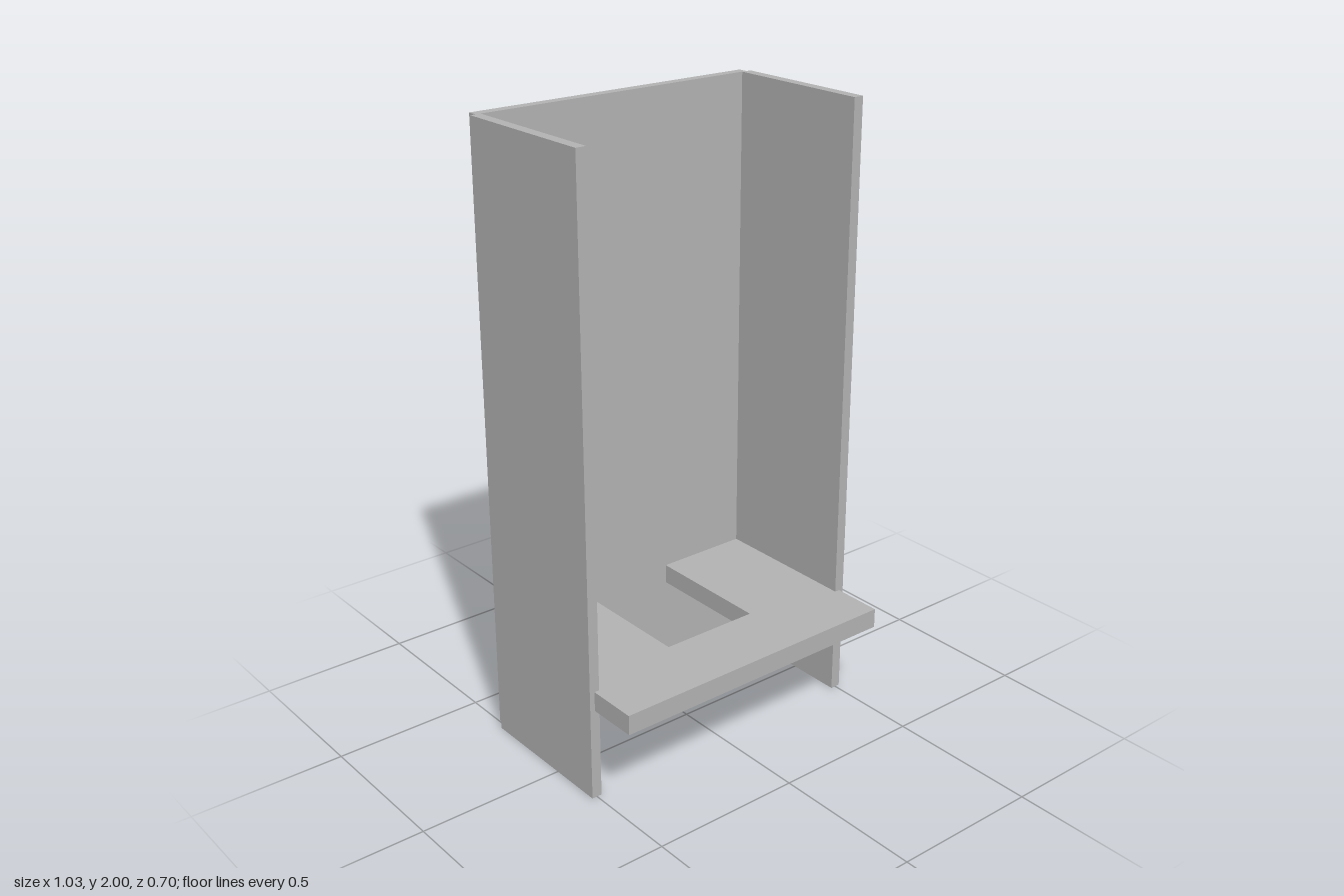
import * as THREE from 'three';

export function createModel() {
  const group = new THREE.Group();
  const grey = new THREE.MeshStandardMaterial({ color: 0xb2b2b2 });
  grey.name = 'grey';

  // Box spanning the given ranges on each axis
  function panel(name, [x0, x1], [y0, y1], [z0, z1]) {
    const mesh = new THREE.Mesh(new THREE.BoxGeometry(x1 - x0, y1 - y0, z1 - z0), grey);
    mesh.position.set((x0 + x1) / 2, (y0 + y1) / 2, (z0 + z1) / 2);
    mesh.name = name;
    group.add(mesh);
  }

  // Upright panels
  panel('backPanel', [-0.5, 0.5], [0, 2], [-0.35, -0.317]);
  panel('leftPanel', [0.483, 0.517], [0, 2], [-0.317, 0.183]);
  panel('rightPanel', [-0.517, -0.483], [0, 2], [-0.317, 0.183]);

  // U-shaped shelf, notched at the back: outline in (x, -z)
  const outline = [
    [-0.5, -0.35], [0.5, -0.35], [0.5, 0.317], [0.167, 0.317],
    [0.167, -0.117], [-0.167, -0.117], [-0.167, 0.317], [-0.5, 0.317],
  ];
  const shape = new THREE.Shape(outline.map(([x, y]) => new THREE.Vector2(x, y)));
  const geometry = new THREE.ExtrudeGeometry(shape, { depth: 0.065, bevelEnabled: false });
  geometry.rotateX(-Math.PI / 2);
  const shelf = new THREE.Mesh(geometry, grey);
  shelf.position.y = 0.304;
  shelf.name = 'notchedShelf';
  group.add(shelf);

  return group;
}
